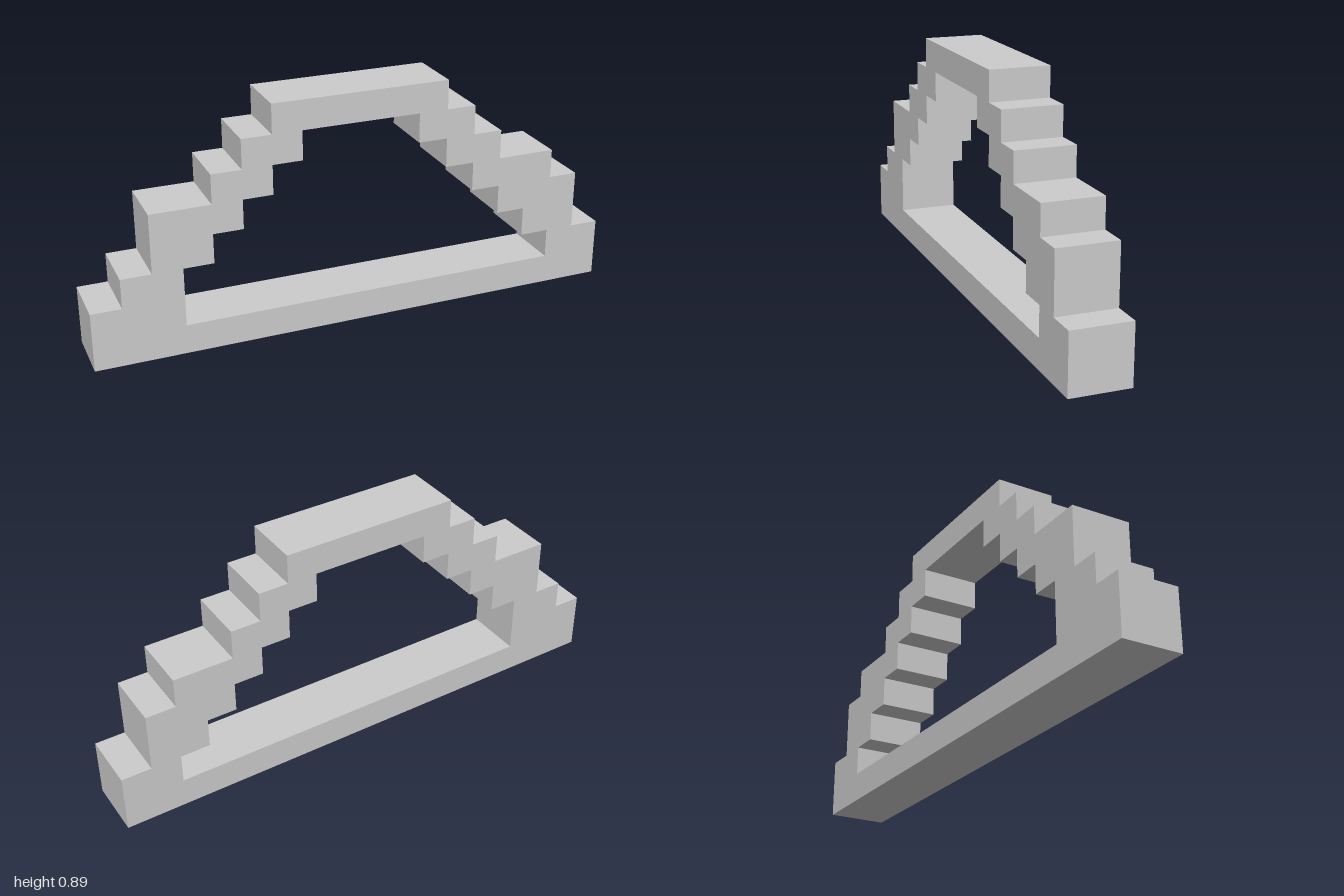
import * as THREE from 'three';

const U = 1 / 9; // one block step

// Stepped outlines in block units, counter-clockwise
const OUTER = [
  [-9, 0], [9, 0], [9, 2], [8, 2], [8, 4], [7, 4], [7, 5], [5, 5], [5, 6], [4, 6], [4, 7], [3, 7], [3, 8],
  [-3, 8], [-3, 7], [-4, 7], [-4, 6], [-5, 6], [-5, 5], [-7, 5], [-7, 3], [-8, 3], [-8, 2], [-9, 2],
];
const OPENING = [
  [-6, 1], [7, 1], [7, 2], [6, 2], [6, 3], [5, 3], [5, 4], [4, 4], [4, 5], [3, 5], [3, 6], [2, 6], [2, 7],
  [-2, 7], [-2, 6], [-3, 6], [-3, 5], [-4, 5], [-4, 4], [-5, 4], [-5, 3], [-6, 3],
];

const toPoints = (list) => list.map(([x, y]) => new THREE.Vector2(x * U, y * U));

export function createModel() {
  const group = new THREE.Group();
  group.name = 'steppedArch';

  // Stepped frame with its stepped opening, two blocks deep
  const shape = new THREE.Shape(toPoints(OUTER));
  shape.holes.push(new THREE.Path(toPoints(OPENING).reverse()));
  const geometry = new THREE.ExtrudeGeometry(shape, { depth: 2 * U, bevelEnabled: false });
  geometry.translate(0, 0, -U);

  const material = new THREE.MeshStandardMaterial({ color: 0xcccccc, flatShading: true });
  const frame = new THREE.Mesh(geometry, material);
  frame.name = 'archFrame';
  group.add(frame);
  return group;
}
